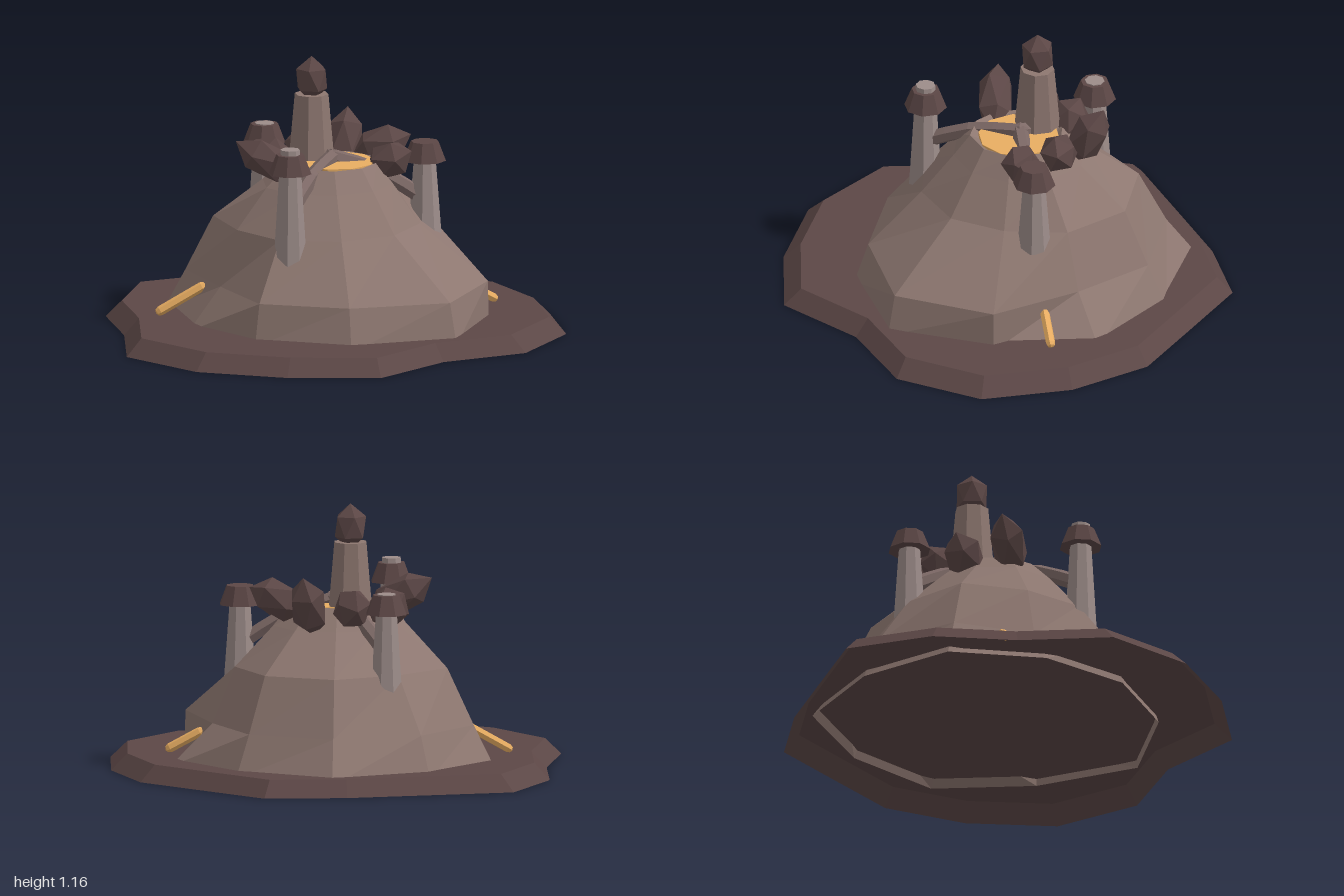
import * as THREE from 'three';

const mat = (color) => new THREE.MeshStandardMaterial({ color, flatShading: true, roughness: 0.9, side: THREE.DoubleSide });
const DARK = mat(0x5c4746), ROCK = mat(0x8d7770), PALE = mat(0x9c8c89), PIPE = mat(0x7d6966), GLOW = mat(0xe8ad62);
const V = (x, y, z) => new THREE.Vector3(x, y, z);
const CX = -0.04, CZ = -0.05;

function add(parent, name, geometry, material) {
  const mesh = new THREE.Mesh(geometry, material);
  mesh.name = name;
  parent.add(mesh);
  return mesh;
}

// Skin through stacked rings; each ring is { y, r: radii at equal angles }
function ringSkin(rings) {
  const n = rings[0].r.length, pos = [], index = [];
  rings.forEach(({ y, r }) => r.forEach((radius, i) => {
    const a = (i / n) * Math.PI * 2;
    pos.push(CX + Math.cos(a) * radius, y, CZ + Math.sin(a) * radius);
  }));
  for (let j = 0; j < rings.length - 1; j++) {
    for (let i = 0; i < n; i++) {
      const a = j * n + i, b = j * n + ((i + 1) % n);
      index.push(a, a + n, b, b, a + n, b + n);
    }
  }
  const g = new THREE.BufferGeometry();
  g.setAttribute('position', new THREE.Float32BufferAttribute(pos, 3));
  g.setIndex(index);
  const flat = g.toNonIndexed();
  flat.computeVertexNormals();
  return flat;
}

// Icosahedron with a vertex up, stretched along a direction
function crystal(parent, name, center, dir, radius, half) {
  const g = new THREE.IcosahedronGeometry(1, 0);
  g.rotateX(-Math.atan((1 + Math.sqrt(5)) / 2));
  g.scale(radius, half, radius);
  const m = add(parent, name, g, DARK);
  m.position.copy(center);
  m.quaternion.setFromUnitVectors(V(0, 1, 0), dir.clone().normalize());
}

// Side vent: tapered shaft with a flared collar near its top
function vent(parent, x, z, bottom, top, collarY) {
  const group = new THREE.Group();
  group.name = 'sideVent';
  group.position.set(x, 0, z);
  const h = top - bottom;
  add(group, 'ventShaft', new THREE.CylinderGeometry(0.042, 0.072, h, 8), PALE).position.y = bottom + h / 2;
  add(group, 'ventCollar', new THREE.CylinderGeometry(0.06, 0.092, 0.083, 8), DARK).position.y = collarY;
  parent.add(group);
}

export function createModel() {
  const root = new THREE.Group();
  root.name = 'volcanicVent';

  // Ragged base slab, hollow underneath
  const outline = [1.035, 1.0, 0.86, 1.03, 1.015, 1.05, 1.05, 0.89, 0.96, 1.015, 0.857, 0.853, 0.925, 0.859, 0.933, 0.973];
  add(root, 'baseSlab', ringSkin([
    { y: 0, r: outline },
    { y: 0.072, r: outline.map((r) => r * 0.927) },
    { y: 0.072, r: outline.map(() => 0) },
  ]), DARK);

  // Faceted mound
  add(root, 'mound', ringSkin([
    { y: 0.04, r: [0.7, 0.79, 0.71, 0.665, 0.66, 0.71, 0.7, 0.77, 0.71, 0.75] },
    { y: 0.22, r: [0.695, 0.75, 0.65, 0.625, 0.51, 0.615, 0.63, 0.64, 0.62, 0.56] },
    { y: 0.46, r: [0.4, 0.41, 0.42, 0.44, 0.43, 0.495, 0.46, 0.52, 0.51, 0.46] },
    { y: 0.63, r: [0.28, 0.28, 0.28, 0.29, 0.29, 0.28, 0.28, 0.29, 0.3, 0.29] },
    { y: 0.72, r: [0.215, 0.21, 0.21, 0.2, 0.19, 0.18, 0.18, 0.19, 0.2, 0.21] },
    { y: 0.7, r: Array(10).fill(0.17) },
  ]), ROCK);

  // Glowing crater pool
  add(root, 'craterPool', new THREE.CylinderGeometry(0.175, 0.175, 0.03, 10), GLOW).position.set(-0.01, 0.705, -0.057);

  // Main chimney with pointed cap
  const main = add(root, 'mainChimney', new THREE.CylinderGeometry(0.073, 0.105, 0.36, 8), ROCK);
  main.position.set(-0.12, 0.815, -0.12);
  crystal(root, 'chimneyTip', V(-0.12, 1.06, -0.12), V(0, 1, 0), 0.075, 0.1);

  // Side vents, each joined to the crater by a bent pipe
  const hub = V(-0.02, 0.735, -0.06);
  [
    [-0.13, 0.365, 0.355, 0.86, 0.797],
    [0.36, -0.18, 0.395, 0.785, 0.75],
    [-0.36, -0.33, 0.37, 0.81, 0.765],
  ].forEach(([x, z, bottom, top, collarY]) => {
    vent(root, x, z, bottom, top, collarY);
    const end = V(x, collarY - 0.21, z);
    const mid = hub.clone().lerp(end, 0.5).add(V(0, 0.03, 0));
    const path = new THREE.CatmullRomCurve3([hub, mid, end]);
    add(root, 'ventPipe', new THREE.TubeGeometry(path, 4, 0.035, 6), PIPE);
  });
  add(root, 'pipeHub', new THREE.IcosahedronGeometry(0.038, 0), PIPE).position.copy(hub);

  // Crystals around the rim: position, lean, radius, half length
  [
    [V(-0.015, 0.74, -0.355), V(0, 0.88, -0.45), 0.085, 0.15],
    [V(-0.175, 0.725, -0.25), V(-0.3, 0.8, -0.4), 0.085, 0.1],
    [V(-0.285, 0.71, -0.11), V(-0.7, 0.65, -0.1), 0.09, 0.11],
    [V(-0.27, 0.74, 0.085), V(-0.85, 0.5, 0.06), 0.083, 0.165],
    [V(0.16, 0.75, -0.255), V(0.9, 0.35, -0.1), 0.087, 0.135],
    [V(0.22, 0.72, -0.1), V(0.85, 0.4, 0.1), 0.085, 0.11],
  ].forEach(([p, dir, r, half]) => crystal(root, 'rimCrystal', p, dir, r, half));

  // Molten streaks on the lower slopes
  [
    [V(-0.74, 0.08, 0.2), V(-0.535, 0.2, 0.13)],
    [V(0.655, 0.08, -0.3), V(0.5, 0.17, -0.245)],
  ].forEach(([a, b]) => {
    const d = b.clone().sub(a);
    const streak = add(root, 'moltenStreak', new THREE.CapsuleGeometry(0.021, d.length() - 0.042, 2, 6), GLOW);
    streak.position.copy(a).lerp(b, 0.5);
    streak.quaternion.setFromUnitVectors(V(0, 1, 0), d.normalize());
  });

  return root;
}
